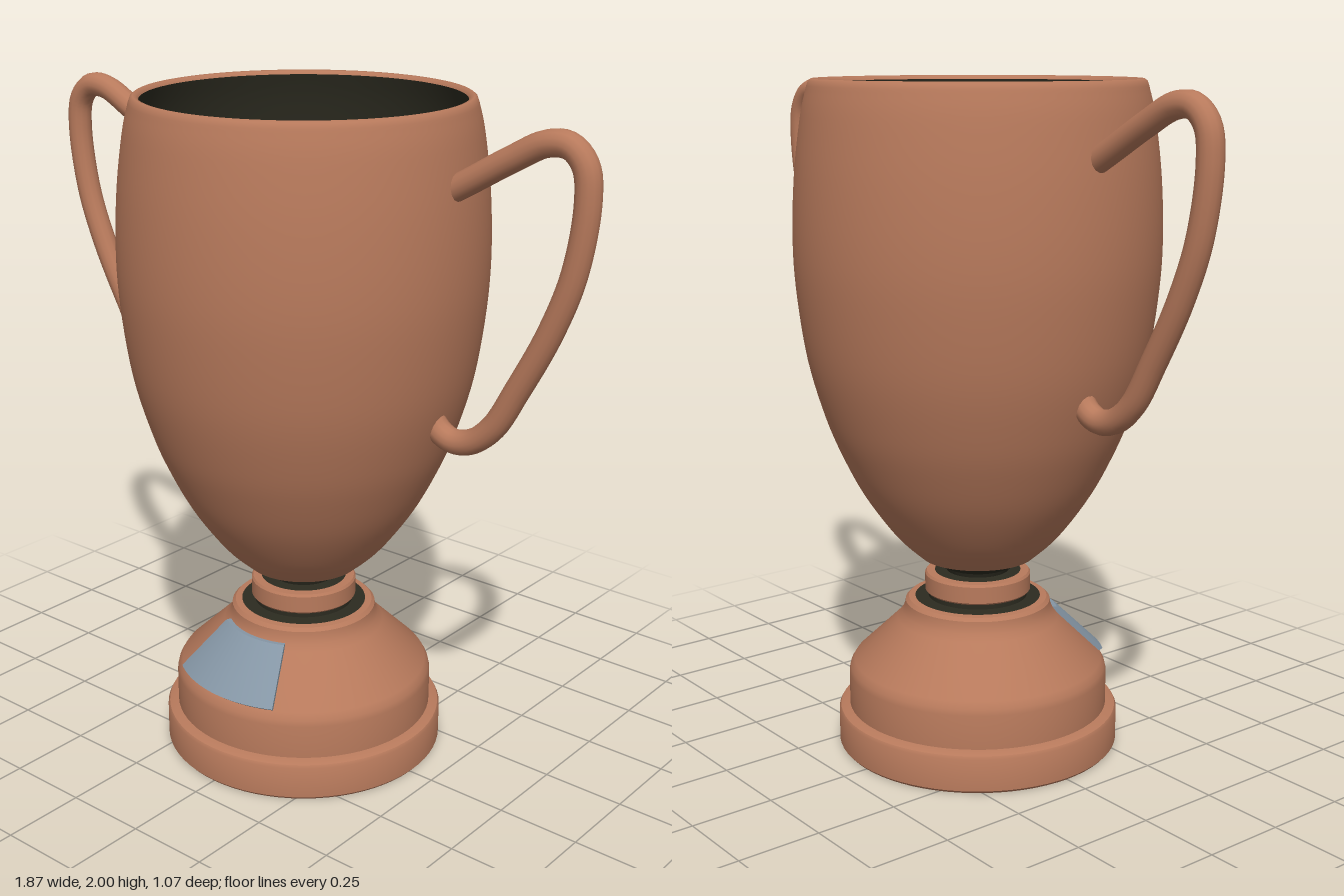
import * as THREE from 'three';
import { toCreasedNormals } from 'three/addons/utils/BufferGeometryUtils.js';

const bronze = new THREE.MeshStandardMaterial({ color: 0xb87a5c });
bronze.name = 'bronze';
const dark = new THREE.MeshStandardMaterial({ color: 0x2c2b20 });
dark.name = 'dark patina';
const steel = new THREE.MeshStandardMaterial({ color: 0x8596a5, side: THREE.DoubleSide });
steel.name = 'plaque steel';

const vecs = (list) => list.map(([x, y]) => new THREE.Vector2(x, y));
const smooth = (list, n = 40) => new THREE.SplineCurve(vecs(list)).getPoints(n);

function mesh(name, geometry, material) {
  const m = new THREE.Mesh(geometry, material);
  m.name = name;
  return m;
}

// Turned part: profile of [radius, height] running upwards on the outside
function turned(name, points, material, crease = 0.6) {
  return mesh(name, toCreasedNormals(new THREE.LatheGeometry(points, 72), crease), material);
}

// Looped handle; side is +1 or -1, z values run from the cup outwards
function handle(name, side, zCup, zOut) {
  const path = [
    [0.49, 1.785], [0.56, 1.825], [0.68, 1.895], [0.78, 1.945], [0.845, 1.945], [0.89, 1.9],
    [0.902, 1.81], [0.875, 1.62], [0.815, 1.455], [0.725, 1.28], [0.655, 1.16],
    [0.59, 1.105], [0.53, 1.092], [0.485, 1.11], [0.45, 1.15],
  ].map(([x, y]) => new THREE.Vector3(
    side * x, y, THREE.MathUtils.lerp(zCup, zOut, (x - 0.45) / 0.45)));
  return mesh(name, new THREE.TubeGeometry(new THREE.CatmullRomCurve3(path), 96, 0.036, 14), bronze);
}

// Plaque wrapped around the sloping foot
function plaque() {
  const group = new THREE.Group();
  group.name = 'plaque';
  const from = -0.61, to = 0.455;
  const section = vecs([
    [0.355, 0.265], [0.378, 0.265], [0.387, 0.272], [0.251, 0.404], [0.243, 0.41], [0.22, 0.41],
  ]);
  const face = new THREE.LatheGeometry(section, 24, from, to - from);
  group.add(mesh('plaqueFace', toCreasedNormals(face, 0.5), steel));
  for (const angle of [from, to]) {
    const end = new THREE.ShapeGeometry(new THREE.Shape(section));
    end.rotateY(angle - Math.PI / 2);
    group.add(mesh('plaqueEnd', end, steel));
  }
  return group;
}

export function createModel() {
  const trophy = new THREE.Group();
  trophy.name = 'trophyCup';

  // Stepped foot
  trophy.add(turned('foot', vecs([
    [0, 0], [0.42, 0], [0.427, 0.008], [0.427, 0.105], [0.422, 0.114], [0.41, 0.119],
    [0.394, 0.122], [0.394, 0.225], [0.39, 0.242], [0.378, 0.262],
    [0.245, 0.39], [0.23, 0.41], [0.222, 0.43], [0.22, 0.445], [0.21, 0.455], [0.19, 0.457],
  ]), bronze));
  trophy.add(turned('footGroove', vecs([[0.19, 0.457], [0.15, 0.459], [0.15, 0.48]]), dark));

  // Collar and neck below the bowl
  trophy.add(turned('collar', vecs([
    [0.14, 0.474], [0.156, 0.475], [0.16, 0.48], [0.16, 0.53], [0.155, 0.537], [0.13, 0.538],
  ]), bronze));
  trophy.add(turned('neck', vecs([
    [0.13, 0.538], [0.095, 0.54], [0.1, 0.552], [0.14, 0.572], [0.172, 0.586],
  ]), dark));

  // Bowl: outer wall and rolled rim
  const wall = smooth([
    [0.172, 0.586], [0.25, 0.66], [0.34, 0.785], [0.405, 0.91], [0.453, 1.03], [0.5, 1.2],
    [0.528, 1.4], [0.535, 1.56], [0.526, 1.74], [0.505, 1.9], [0.486, 1.98],
  ], 48);
  trophy.add(turned('bowl', [
    ...wall, ...vecs([[0.481, 1.994], [0.473, 2], [0.463, 1.998], [0.457, 1.988]]),
  ], bronze, 1));

  // Hollow inside of the bowl
  trophy.add(turned('bowlInside', smooth([
    [0.457, 1.988], [0.48, 1.9], [0.503, 1.74], [0.512, 1.56], [0.503, 1.4], [0.475, 1.2],
    [0.428, 1.03], [0.378, 0.91], [0.31, 0.785], [0.2, 0.67], [0.1, 0.625], [0, 0.61],
  ], 40), dark, 1));

  trophy.add(handle('leftHandle', 1, -0.012, -0.024));
  trophy.add(handle('rightHandle', -1, 0.002, 0.013));
  trophy.add(plaque());
  return trophy;
}
